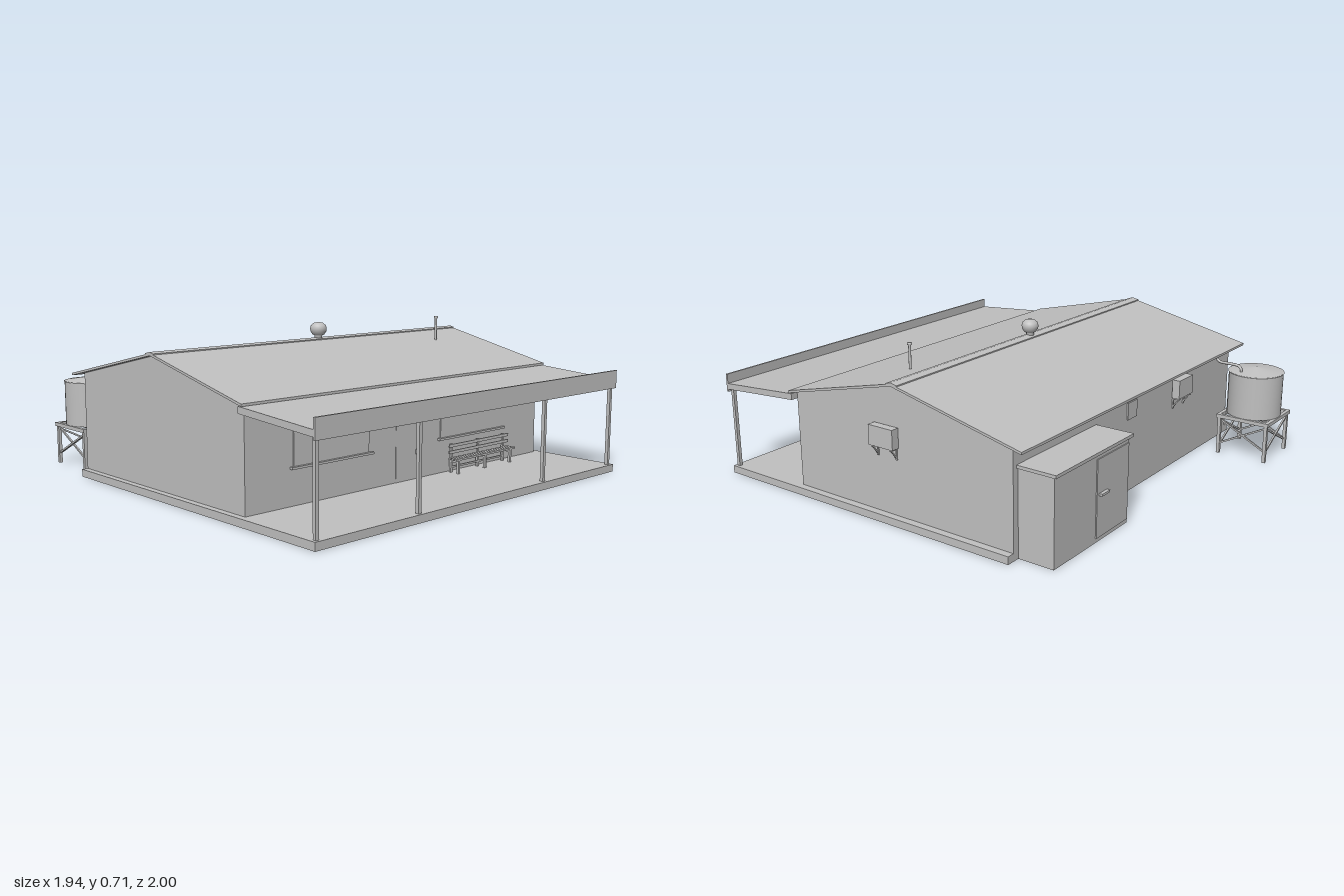
import * as THREE from 'three';

export function createModel() {
  const model = new THREE.Group();
  model.name = 'verandaHouse';
  const grey = new THREE.MeshStandardMaterial({ color: 0xc0c0c0 });
  grey.name = 'plain grey';

  const add = (name, geo, parent = model) => {
    const mesh = new THREE.Mesh(geo, grey);
    mesh.name = name;
    parent.add(mesh);
    return mesh;
  };
  const group = (name) => {
    const g = new THREE.Group();
    g.name = name;
    model.add(g);
    return g;
  };
  // Box given by its limits on each axis
  const box = (name, x0, x1, y0, y1, z0, z1, parent) => {
    const m = add(name, new THREE.BoxGeometry(x1 - x0, y1 - y0, z1 - z0), parent);
    m.position.set((x0 + x1) / 2, (y0 + y1) / 2, (z0 + z1) / 2);
    return m;
  };
  // Side outline of [z, y] points pulled along x
  const profile = (name, pts, x0, x1, parent) => {
    const shape = new THREE.Shape(pts.map(([z, y]) => new THREE.Vector2(-z, y)));
    const geo = new THREE.ExtrudeGeometry(shape, { depth: x1 - x0, bevelEnabled: false });
    geo.rotateY(Math.PI / 2);
    geo.translate(x0, 0, 0);
    return add(name, geo, parent);
  };
  // Square or round bar between two points
  const bar = (name, a, b, r, sides, parent) => {
    const from = new THREE.Vector3(...a), to = new THREE.Vector3(...b);
    const dir = to.clone().sub(from);
    const geo = new THREE.CylinderGeometry(r, r, dir.length(), sides);
    if (sides === 4) geo.rotateY(Math.PI / 4);
    const m = add(name, sides === 4 ? geo.toNonIndexed() : geo, parent);
    if (sides === 4) m.geometry.computeVertexNormals();
    m.position.copy(from).add(to).multiplyScalar(0.5);
    m.quaternion.setFromUnitVectors(new THREE.Vector3(0, 1, 0), dir.normalize());
    return m;
  };
  const lathe = (name, pts, x, z, parent) => {
    const geo = new THREE.LatheGeometry(pts.map(([r, y]) => new THREE.Vector2(r, y)), 32);
    const m = add(name, geo, parent);
    m.position.set(x, 0, z);
    return m;
  };

  // Floor slab and gabled walls
  box('floorSlab', -0.97, 0.96, 0, 0.035, -0.63, 1);
  profile('walls', [[0.56, 0.03], [0.56, 0.483], [-0.035, 0.624], [-0.63, 0.49], [-0.63, 0.03]], -0.94, 0.925);

  // Main roof, ridge cap and veranda roof
  const roof = group('roof');
  profile('mainRoof', [[0.58, 0.488], [-0.037, 0.632], [-0.695, 0.485],
    [-0.695, 0.474], [-0.037, 0.621], [0.58, 0.477]], -0.97, 0.96, roof);
  profile('ridgeCap', [[-0.012, 0.625], [-0.012, 0.631], [-0.037, 0.637], [-0.07, 0.63], [-0.07, 0.624]], -0.97, 0.96, roof);
  profile('verandaRoof', [[0.99, 0.445], [0.56, 0.477], [0.56, 0.448], [0.99, 0.417]], -0.97, 0.96, roof);
  box('verandaFascia', -0.97, 0.96, 0.405, 0.49, 0.99, 1, roof);

  // Veranda posts
  for (const x of [-0.948, -0.4, 0.42, 0.938]) box('verandaPost', x - 0.008, x + 0.008, 0.035, 0.425, 0.972, 0.988);

  // Front windows with sills
  for (const [x0, x1] of [[-0.69, -0.26], [0.205, 0.645]]) {
    box('frontWindow', x0, x1, 0.2, 0.38, 0.559, 0.564);
    box('windowSill', x0 - 0.018, x1 + 0.018, 0.19, 0.2, 0.555, 0.577);
  }
  // Front door
  box('frontDoor', -0.09, 0.065, 0.035, 0.38, 0.559, 0.562);
  box('doorHandle', 0.036, 0.043, 0.15, 0.17, 0.56, 0.572);
  // Small back window
  box('backWindow', 0, 0.078, 0.35, 0.43, -0.637, -0.63);

  // Slatted bench
  const bench = group('bench');
  for (const x of [0.258, 0.45, 0.64]) {
    box('backLeg', x - 0.006, x + 0.006, 0.035, 0.17, 0.578, 0.588, bench);
    box('frontLeg', x - 0.006, x + 0.006, 0.035, 0.1, 0.622, 0.634, bench);
    box('seatBearer', x - 0.006, x + 0.006, 0.085, 0.097, 0.58, 0.634, bench);
  }
  for (const y of [0.125, 0.155]) box('backSlat', 0.235, 0.67, y - 0.001, y + 0.013, 0.588, 0.594, bench);
  for (const z of [0.594, 0.612, 0.63]) box('seatSlat', 0.235, 0.67, 0.097, 0.106, z - 0.007, z + 0.007, bench);
  box('footRail', 0.258, 0.64, 0.055, 0.063, 0.579, 0.587, bench);

  // Air conditioners on brackets: one on the left wall, one on the back wall
  const airCon = (x, z, turn) => {
    const g = group('airConditioner');
    box('casing', -0.067, 0.067, 0.345, 0.435, 0.004, 0.042, g);
    for (const bx of [-0.052, 0.052]) {
      box('bracketUpright', bx - 0.004, bx + 0.004, 0.29, 0.35, 0, 0.006, g);
      box('bracketArm', bx - 0.004, bx + 0.004, 0.337, 0.345, 0, 0.04, g);
      bar('bracketStrut', [bx, 0.3, 0.004], [bx, 0.34, 0.034], 0.004, 4, g);
    }
    g.position.set(x, 0, z);
    g.rotation.y = turn;
  };
  airCon(0.925, 0.025, Math.PI / 2);
  airCon(-0.4, -0.63, Math.PI);

  // Back store room with door
  const store = group('storeRoom');
  box('storeWalls', 0.345, 0.893, 0, 0.39, -0.8, -0.62, store);
  box('storeRoof', 0.333, 0.905, 0.388, 0.402, -0.815, -0.62, store);
  box('storeDoor', 0.352, 0.595, 0.02, 0.365, -0.805, -0.8, store);
  box('storeHandle', 0.52, 0.58, 0.205, 0.215, -0.82, -0.803, store);

  // Ridge vent and flue
  lathe('ridgeVent', [[0.018, 0.615], [0.018, 0.645], [0.028, 0.65], [0.038, 0.665], [0.04, 0.68],
    [0.036, 0.694], [0.022, 0.706], [0, 0.71]], -0.005, -0.04);
  lathe('flue', [[0.006, 0.585], [0.006, 0.702], [0.01, 0.703], [0.01, 0.712], [0, 0.713]], 0.655, 0.128);

  // Water tank on a braced stand
  const tank = group('waterTank');
  const cx = -0.765, cz = -0.864;
  const drum = add('tankDrum', new THREE.CylinderGeometry(0.132, 0.132, 0.215, 40), tank);
  drum.position.set(cx, 0.31, cz);
  const lid = add('tankLid', new THREE.ConeGeometry(0.136, 0.022, 40), tank);
  lid.position.set(cx, 0.427, cz);
  for (let i = 0; i < 4; i++) {
    const side = new THREE.Group();
    side.name = 'standSide';
    side.position.set(cx, 0, cz);
    side.rotation.y = i * Math.PI / 2;
    tank.add(side);
    box('platformBeam', -0.136, 0.136, 0.185, 0.203, 0.118, 0.136, side);
    box('standLeg', 0.114, 0.13, 0, 0.19, 0.114, 0.13, side);
    bar('brace', [-0.122, 0.05, 0.122], [0.122, 0.175, 0.122], 0.006, 4, side);
    bar('brace', [-0.122, 0.175, 0.116], [0.122, 0.05, 0.116], 0.006, 4, side);
  }
  for (const x of [-0.06, 0, 0.06]) box('platformJoist', cx + x - 0.006, cx + x + 0.006, 0.188, 0.202, cz - 0.12, cz + 0.12, tank);

  // Downpipe from the eave to the tank
  const path = new THREE.CatmullRomCurve3([[-0.69, 0.475, -0.68], [-0.69, 0.455, -0.7], [-0.69, 0.452, -0.76],
    [-0.69, 0.449, -0.8], [-0.685, 0.438, -0.818], [-0.685, 0.41, -0.82]].map((p) => new THREE.Vector3(...p)));
  add('downpipe', new THREE.TubeGeometry(path, 30, 0.007, 10), tank);

  return model;
}
